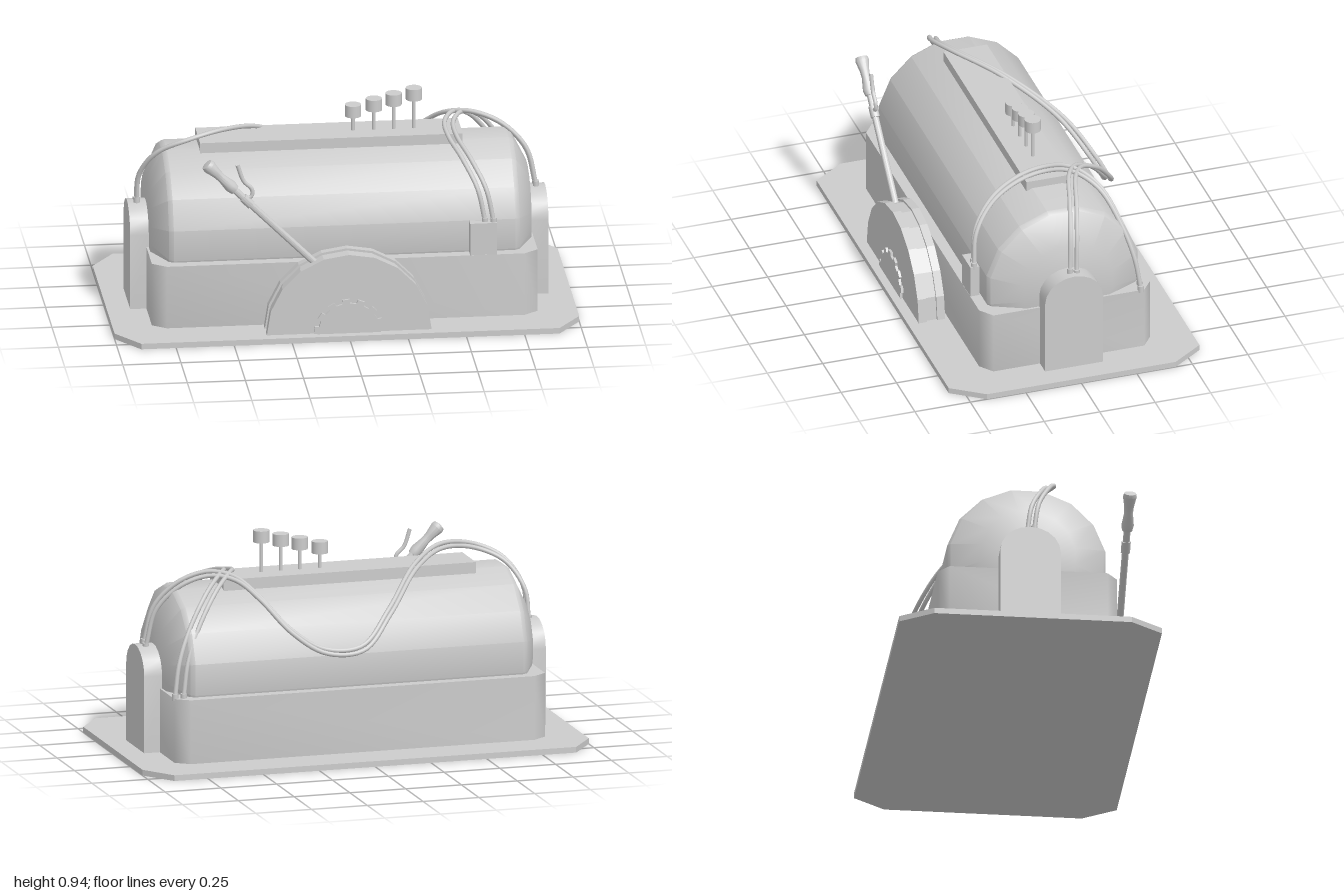
import * as THREE from 'three';
import { toCreasedNormals } from 'three/addons/utils/BufferGeometryUtils.js';

const grey = new THREE.MeshStandardMaterial({ color: 0xcccccc });
const V = (x, y, z) => new THREE.Vector3(x, y, z);

export function createModel() {
  const model = new THREE.Group();

  const add = (name, geo, x = 0, y = 0, z = 0) => {
    const mesh = new THREE.Mesh(geo, grey);
    mesh.name = name;
    mesh.position.set(x, y, z);
    model.add(mesh);
    return mesh;
  };
  const extrude = (pts, depth, crease = 0.6) => toCreasedNormals(
    new THREE.ExtrudeGeometry(new THREE.Shape(pts.map(p => new THREE.Vector2(...p))),
      { depth, bevelEnabled: false }), crease);
  // horizontal slab with cut corners
  const slab = (w, d, cx, cz, h, crease) => extrude([
    [-w + cx, -d], [w - cx, -d], [w, -d + cz], [w, d - cz],
    [w - cx, d], [-w + cx, d], [-w, d - cz], [-w, -d + cz]], h, crease).rotateX(-Math.PI / 2);
  const lathe = (pts, segs, phi = 0) => toCreasedNormals(
    new THREE.LatheGeometry(pts.map(p => new THREE.Vector2(...p)), segs, phi), 0.6);

  // base and tub
  add('basePlate', slab(1, 0.565, 0.1, 0.14, 0.025, 0.3));
  add('tub', slab(0.83, 0.385, 0.06, 0.045, 0.28, 1), 0, 0.025, 0);

  // sixteen-sided tank lying along x, with tapered ends
  add('tank', lathe([
    [0, -0.82], [0.205, -0.82], [0.335, -0.755], [0.347, -0.735],
    [0.347, 0.735], [0.335, 0.755], [0.205, 0.82], [0, 0.82]], 16, Math.PI / 16)
    .rotateZ(-Math.PI / 2), 0, 0.38, 0);
  add('topPlate', new THREE.BoxGeometry(1.13, 0.055, 0.196), -0.03, 0.7275, -0.004);

  // plungers of rising height
  [[0.073, 0.872], [0.163, 0.896], [0.248, 0.917], [0.335, 0.938]].forEach(([x, top]) => {
    add('plungerStem', new THREE.CylinderGeometry(0.008, 0.008, top - 0.76, 10), x, (top + 0.73) / 2, 0);
    add('plungerCap', new THREE.CylinderGeometry(0.035, 0.035, 0.052, 20), x, top - 0.026, 0);
  });

  // arched junction towers at both ends
  const arch = [[-0.13, 0.025], [0.13, 0.025]];
  for (let i = 0; i <= 10; i++) {
    const a = i / 10 * Math.PI;
    arch.push([0.13 * Math.cos(a), 0.36 + 0.115 * Math.sin(a)]);
  }
  for (const s of [-1, 1]) {
    add('endTower', extrude(arch, 0.09).rotateY(Math.PI / 2), s > 0 ? 0.81 : -0.9, 0, 0);
  }
  add('junctionBox', new THREE.BoxGeometry(0.115, 0.15, 0.04), 0.593, 0.373, 0.364);

  // half-round lever housing: two cheeks and a recessed middle
  const half = r => Array.from({ length: 11 }, (_, i) => {
    const a = i / 10 * Math.PI;
    return [r * Math.cos(a), r * Math.sin(a)];
  });
  add('housingBack', extrude(half(0.355), 0.035, 0.2), 0, 0.022, 0.4);
  add('housingMiddle', extrude(half(0.345), 0.05, 0.2), 0, 0.022, 0.434);
  add('housingFront', extrude(half(0.355), 0.037, 0.2), 0, 0.022, 0.482);

  // toothed half hub, showing on both faces
  const gear = [];
  for (let i = 0; i < 7; i++) {
    [[0, 0.135], [0.45, 0.135], [0.5, 0.153], [0.95, 0.153]].forEach(([t, r]) => {
      const a = (i + t) / 7 * Math.PI;
      gear.push([r * Math.cos(a), r * Math.sin(a)]);
    });
  }
  gear.push([-0.135, 0]);
  add('gearHub', extrude(gear, 0.14, 0.2), 0, 0.025, 0.39);

  // lever: rod, collar and waisted grip along one slanted axis
  const lever = new THREE.Group();
  lever.name = 'lever';
  lever.position.set(-0.14, 0.325, 0.46);
  lever.rotation.z = Math.PI / 4;
  const onLever = (name, pts) => {
    const m = new THREE.Mesh(lathe(pts, 14), grey);
    m.name = name;
    lever.add(m);
  };
  onLever('leverRod', [[0, -0.05], [0.015, -0.05], [0.015, 0.54], [0, 0.54]]);
  onLever('leverCollar', [[0, 0.39], [0.02, 0.39], [0.02, 0.44], [0, 0.44]]);
  onLever('leverGrip', [[0, 0.49], [0.022, 0.49], [0.027, 0.515], [0.019, 0.57],
    [0.021, 0.6], [0.03, 0.645], [0.026, 0.66], [0, 0.665]]);
  model.add(lever);

  const tube = (name, pts, r, segs) => add(name,
    new THREE.TubeGeometry(new THREE.CatmullRomCurve3(pts), segs, r, 8));
  tube('leverTrigger', [V(-0.46, 0.63, 0.46), V(-0.415, 0.64, 0.46), V(-0.413, 0.672, 0.46),
    V(-0.448, 0.71, 0.46), V(-0.475, 0.785, 0.46)], 0.009, 24);

  // cables, each a pair of parallel tubes with ferrules at the ends
  const cablePair = (name, pts, offset) => {
    for (const s of [-1, 1]) {
      const path = pts.map(p => V(...p).addScaledVector(offset, s));
      tube(name, path, 0.01, 100);
      for (const p of [path[0], path[path.length - 1]]) {
        add('cableFerrule', new THREE.CylinderGeometry(0.014, 0.014, 0.03, 10), p.x, p.y, p.z);
      }
    }
  };
  // long cables draped over the top and down the back
  cablePair('longCable', [
    [-0.86, 0.475, 0.005], [-0.85, 0.6, 0.025], [-0.78, 0.715, 0.08], [-0.66, 0.775, 0.11],
    [-0.5, 0.8, 0.06], [-0.33, 0.755, -0.09], [-0.15, 0.61, -0.29], [0, 0.48, -0.385],
    [0.17, 0.48, -0.385], [0.31, 0.57, -0.345], [0.42, 0.7, -0.25], [0.5, 0.77, -0.15],
    [0.6, 0.785, -0.09], [0.72, 0.74, -0.055], [0.82, 0.635, -0.025], [0.86, 0.475, -0.01],
  ], V(0, 0.006, 0.015));
  // short cables crossing the tank from the box to the rear corner
  cablePair('crossCable', [
    [0.62, 0.45, 0.36], [0.59, 0.59, 0.34], [0.535, 0.695, 0.25], [0.49, 0.75, 0.12],
    [0.485, 0.775, 0], [0.53, 0.785, -0.1], [0.62, 0.73, -0.2], [0.72, 0.59, -0.27],
    [0.78, 0.45, -0.31], [0.805, 0.31, -0.33],
  ], V(0.018, 0, 0.004));

  return model;
}
